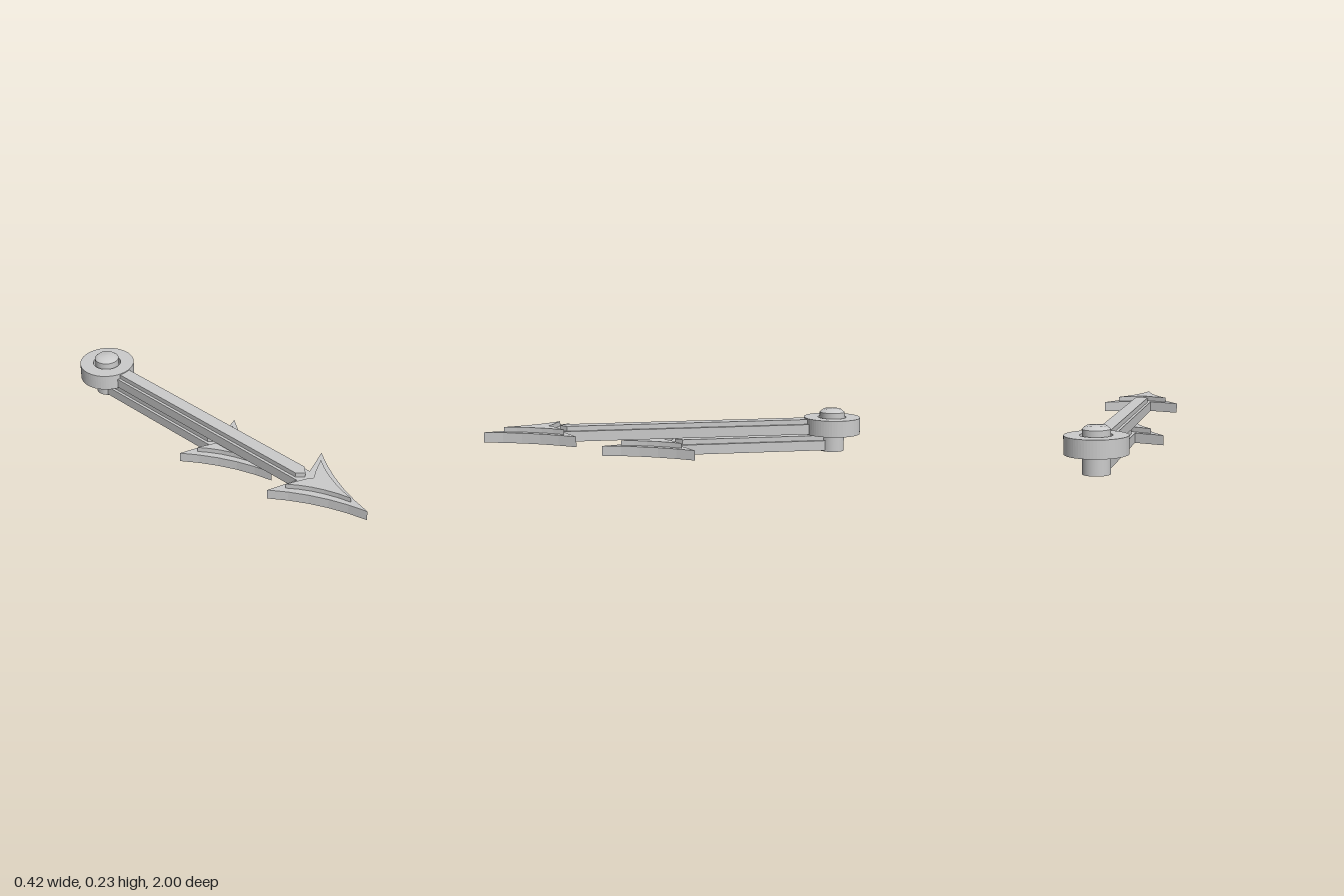
import * as THREE from 'three';

const material = new THREE.MeshStandardMaterial({ color: 0xcccccc });
const PIVOT_Z = -0.85;

function add(group, name, geometry) {
  const mesh = new THREE.Mesh(geometry, material);
  mesh.name = name;
  group.add(mesh);
}

// Extrude a plan outline (x, z) between two heights
function slab(shape, bottom, top, curveSegments = 5) {
  const g = new THREE.ExtrudeGeometry(shape, { depth: top - bottom, bevelEnabled: false, curveSegments });
  return g.rotateX(Math.PI / 2).translate(0, top, 0);
}

// Barbed head with concave flanks; notch is a list of [x, z] from +x to -x
function headShape(tip, wingX, wingZ, ctrlX, ctrlZ, notch) {
  const s = new THREE.Shape();
  s.moveTo(0, tip);
  s.quadraticCurveTo(ctrlX, ctrlZ, wingX, wingZ);
  notch.forEach(([x, z]) => s.lineTo(x, z));
  s.lineTo(-wingX, wingZ);
  s.quadraticCurveTo(-ctrlX, ctrlZ, 0, tip);
  return s;
}

// Straight bar with an optional pointed end
function barShape(half, start, end, point = 0) {
  const s = new THREE.Shape();
  s.moveTo(-half, start);
  s.lineTo(half, start);
  s.lineTo(half, end - point);
  if (point) s.lineTo(0, end);
  s.lineTo(-half, end - point);
  s.closePath();
  return s;
}

// Stepped arrow hand; shift moves the head along z
function hand(name, shift, backZ, y0, y1, y2) {
  const g = new THREE.Group();
  g.name = name;
  const z = shift;
  add(g, 'head', slab(headShape(1 + z, 0.208, 0.545 + z, 0.05, 0.755 + z, [[0.05, 0.6 + z], [-0.05, 0.6 + z]]), y0, y1));
  add(g, 'raisedHead', slab(headShape(0.898 + z, 0.135, 0.6 + z, 0.035, 0.725 + z,
    [[0.035, 0.645 + z], [0, 0.668 + z], [-0.035, 0.645 + z]]), y1, y2));
  add(g, 'shaft', slab(barShape(0.05, backZ, 0.6 + z), y0, y1));
  add(g, 'raisedShaft', slab(barShape(0.035, backZ, 0.612 + z, 0.035), y1, y2));
  return g;
}

export function createModel() {
  const model = new THREE.Group();
  model.name = 'clockHands';

  model.add(hand('longHand', 0, -0.72, 0.097, 0.15, 0.175));
  model.add(hand('shortHand', -0.605, -0.8, 0.008, 0.06, 0.086));

  // Pivot ring at the back of the long hand
  const ring = new THREE.Shape();
  ring.absarc(0, PIVOT_Z, 0.15, 0, Math.PI * 2);
  const hole = new THREE.Path();
  hole.absarc(0, PIVOT_Z, 0.076, 0, Math.PI * 2, true);
  ring.holes.push(hole);
  add(model, 'pivotRing', slab(ring, 0.093, 0.18, 32));

  // Central pin with a softened cap
  const side = new THREE.CylinderGeometry(0.066, 0.066, 0.208, 40, 1, true).translate(0, 0.104, PIVOT_Z);
  add(model, 'pin', side);
  const cap = [[0.066, 0.208], [0.047, 0.224], [0, 0.226]].map(([x, y]) => new THREE.Vector2(x, y));
  add(model, 'pinCap', new THREE.LatheGeometry(cap, 40).translate(0, 0, PIVOT_Z));
  add(model, 'pinBase', new THREE.CircleGeometry(0.066, 40).rotateX(Math.PI / 2).translate(0, 0, PIVOT_Z));

  return model;
}
